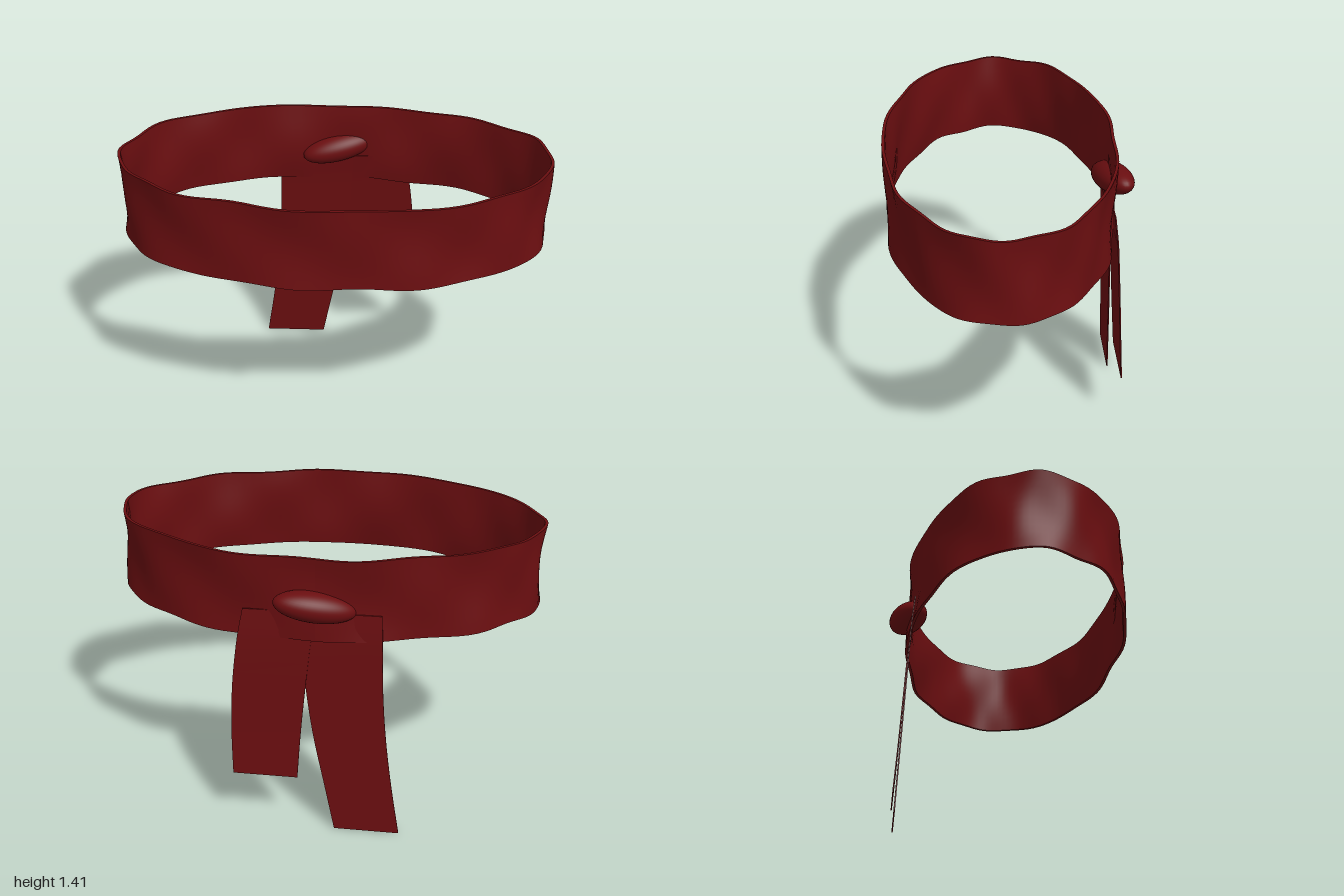
import * as THREE from 'three';

export function createModel() {
  const group = new THREE.Group();
  const cloth = new THREE.MeshStandardMaterial({ color: 0x6a0e10 });
  cloth.name = 'dark red cloth';

  function add(name, geometry) {
    const mesh = new THREE.Mesh(geometry, cloth);
    mesh.name = name;
    group.add(mesh);
    return mesh;
  }

  // Move every vertex of a geometry by a rule
  function reshape(geometry, rule) {
    const p = geometry.attributes.position;
    const v = new THREE.Vector3();
    for (let i = 0; i < p.count; i++) {
      v.fromBufferAttribute(p, i);
      rule(v);
      p.setXYZ(i, v.x, v.y, v.z);
    }
    geometry.computeVertexNormals();
    return geometry;
  }

  // Headband: a thin wall bent into an oval, with soft cloth ripples; the seam lies under the knot
  add('headband', reshape(new THREE.BoxGeometry(1, 1, 1, 128, 10, 1), (v) => {
    const a = v.x * Math.PI * 2;
    const h = v.y;
    const ripple = 0.006 * Math.sin(9 * a + 5 * h) + 0.004 * Math.sin(14 * a - 4 * h + 1);
    const flare = 0.04 * (h * h - 0.12);
    const r = ripple + flare + v.z * 0.014;
    const wave = 0.006 * Math.sin(3 * a + 2.4) + 0.004 * Math.sin(11 * a);
    v.set(Math.sin(a) * (0.982 + r), 1.202 + h * 0.395 + wave, 0.043 + Math.cos(a) * (0.528 + r));
  }));

  // Hanging tails: flat ribbons between an inner and an outer edge, given as [y, left x, right x]
  function tail(name, rows, zTop, zBottom) {
    const edge = (k) => new THREE.CatmullRomCurve3(rows.map((r) => new THREE.Vector3(r[k], r[0], 0)));
    const left = edge(1);
    const right = edge(2);
    add(name, reshape(new THREE.BoxGeometry(1, 1, 0.006, 1, 16, 1), (v) => {
      const t = 0.5 - v.y;
      const p = left.getPoint(t).lerp(right.getPoint(t), v.x + 0.5);
      v.set(p.x, p.y, v.z + zTop + (zBottom - zTop) * t);
    }));
  }
  tail('longTail', [
    [1.13, -0.295, 0.07], [1, -0.3, 0.065], [0.75, -0.308, 0.045],
    [0.5, -0.328, 0.01], [0.25, -0.36, -0.04], [0, -0.4, -0.09],
  ], -0.47, -0.53);
  tail('shortTail', [
    [1.13, 0, 0.33], [1, 0.02, 0.355], [0.75, 0.047, 0.385],
    [0.5, 0.07, 0.395], [0.28, 0.085, 0.392],
  ], -0.471, -0.53);

  // Knot: a tilted egg shape at the back
  const knot = add('knot', new THREE.SphereGeometry(1, 40, 24));
  knot.scale.set(0.19, 0.07, 0.081);
  knot.rotation.set(0, 0.26, 0.2);
  knot.position.set(0, 1.17, -0.494);

  return group;
}
